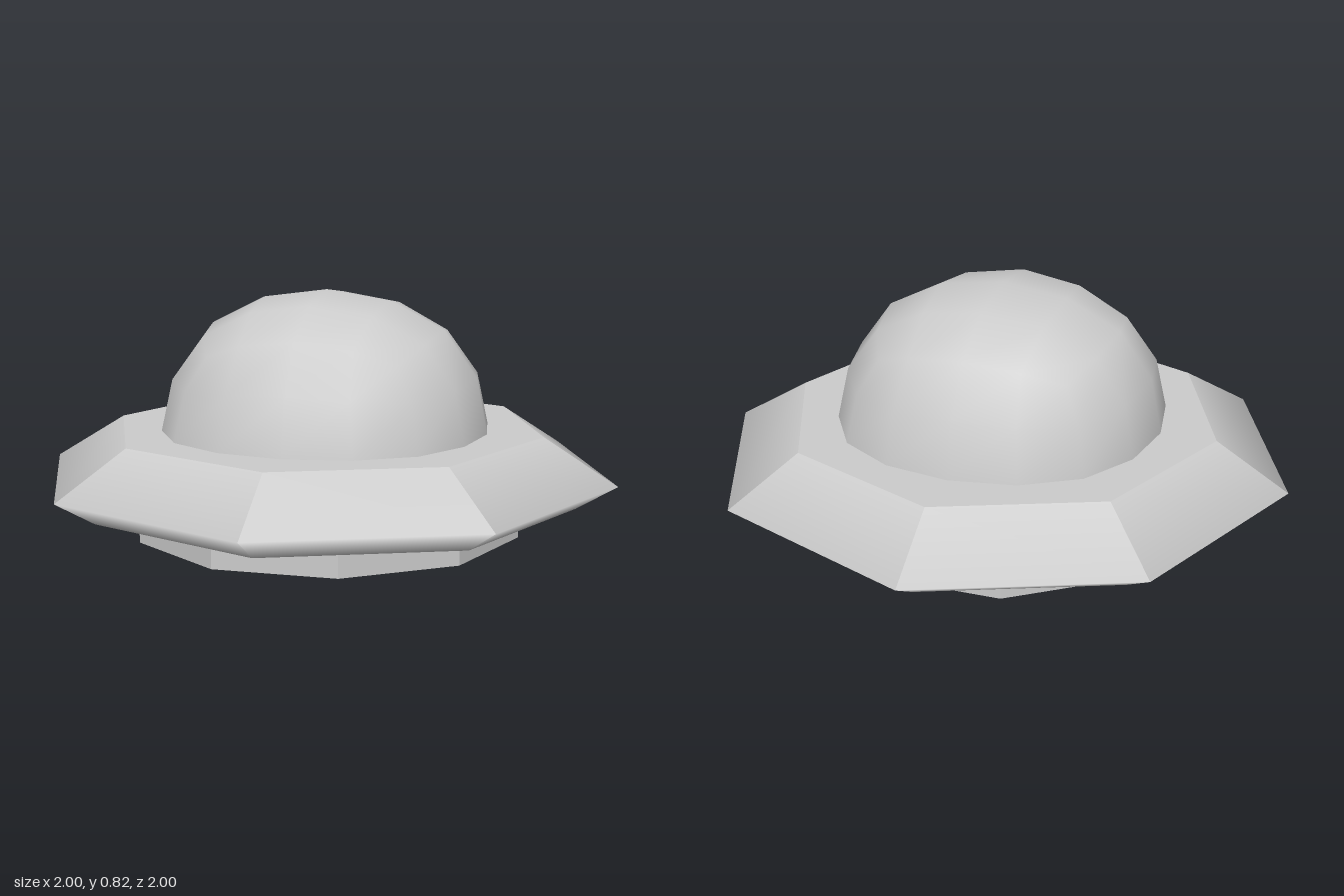
import * as THREE from 'three';
import { mergeGeometries, mergeVertices } from 'three/addons/utils/BufferGeometryUtils.js';

const RIM_TOP = 0.35;
const RIM_BOTTOM = 0.112;
const SIDES = 8;

// Bevelled band of the rim: rounded over its outer edge, creased at the corners
function rimBandGeometry() {
  const profile = [
    new THREE.Vector2(0.862, RIM_BOTTOM),
    new THREE.Vector2(1, 0.195),
    new THREE.Vector2(0.75, RIM_TOP),
  ];
  const geo = new THREE.LatheGeometry(profile, SIDES).toNonIndexed();
  const pos = geo.attributes.position;
  const nor = geo.attributes.normal;
  const step = (Math.PI * 2) / SIDES;
  for (let t = 0; t < pos.count; t += 3) {
    const cx = pos.getX(t) + pos.getX(t + 1) + pos.getX(t + 2);
    const cz = pos.getZ(t) + pos.getZ(t + 1) + pos.getZ(t + 2);
    const angle = (Math.floor(Math.atan2(cx, cz) / step) + 0.5) * step;
    for (let i = t; i < t + 3; i++) {
      const out = Math.hypot(nor.getX(i), nor.getZ(i));
      nor.setXYZ(i, Math.sin(angle) * out, nor.getY(i), Math.cos(angle) * out);
    }
  }
  return geo;
}

// Rounded-cube grid: positions for one quarter of a 4 x 4 face, by |column|, |row|
const ROUND = {
  '00': [0, 0, 0.878],
  '10': [0.35, 0, 0.82],
  '20': [0.643, 0, 0.643],
  '11': [0.326, 0.326, 0.764],
  '21': [0.599, 0.302, 0.599],
  '22': [0.509, 0.509, 0.509],
};

function roundFace(plane) {
  const pos = plane.attributes.position;
  for (let i = 0; i < pos.count; i++) {
    const x = Math.round(pos.getX(i));
    const y = Math.round(pos.getY(i));
    const a = Math.abs(x);
    const b = Math.abs(y);
    let [u, v, w] = ROUND[`${Math.max(a, b)}${Math.min(a, b)}`];
    if (b > a) [u, v] = [v, u];
    pos.setXYZ(i, Math.sign(x) * u, Math.sign(y) * v, w);
  }
  return plane;
}

// Upper half of the rounded cube: a top face and four half-height sides
function domeGeometry() {
  const faces = [roundFace(new THREE.PlaneGeometry(4, 4, 4, 4)).rotateX(-Math.PI / 2)];
  for (let k = 0; k < 4; k++) {
    const side = new THREE.PlaneGeometry(4, 2, 4, 2).translate(0, 1, 0);
    faces.push(roundFace(side).rotateY((k * Math.PI) / 2));
  }
  const merged = mergeGeometries(faces);
  merged.deleteAttribute('uv');
  merged.deleteAttribute('normal');
  const geo = mergeVertices(merged, 1e-3);
  geo.scale(0.636, 0.54, 0.636);
  geo.computeVertexNormals();
  return geo;
}

export function createModel() {
  const group = new THREE.Group();
  group.name = 'saucer';
  const smooth = new THREE.MeshStandardMaterial({ color: 0xcccccc });
  const flat = new THREE.MeshStandardMaterial({ color: 0xcccccc, flatShading: true });

  const add = (name, geometry, material, y = 0) => {
    const mesh = new THREE.Mesh(geometry, material);
    mesh.name = name;
    mesh.position.y = y;
    group.add(mesh);
  };

  // Eight-sided rim with flat faces above and below
  add('rimBand', rimBandGeometry(), smooth);
  const cap = (r, turn) => new THREE.CircleGeometry(r, SIDES).rotateX(turn);
  add('rimTop', cap(0.75, -Math.PI / 2), flat, RIM_TOP);
  add('rimUnderside', cap(0.862, Math.PI / 2), flat, RIM_BOTTOM);

  // Dome resting on the rim
  add('dome', domeGeometry(), smooth, RIM_TOP);

  // Ten-sided base with a corner on the x axis
  const base = new THREE.CylinderGeometry(0.67, 0.67, RIM_BOTTOM, 10).rotateY(Math.PI / 2);
  add('base', base, flat, RIM_BOTTOM / 2);

  return group;
}
